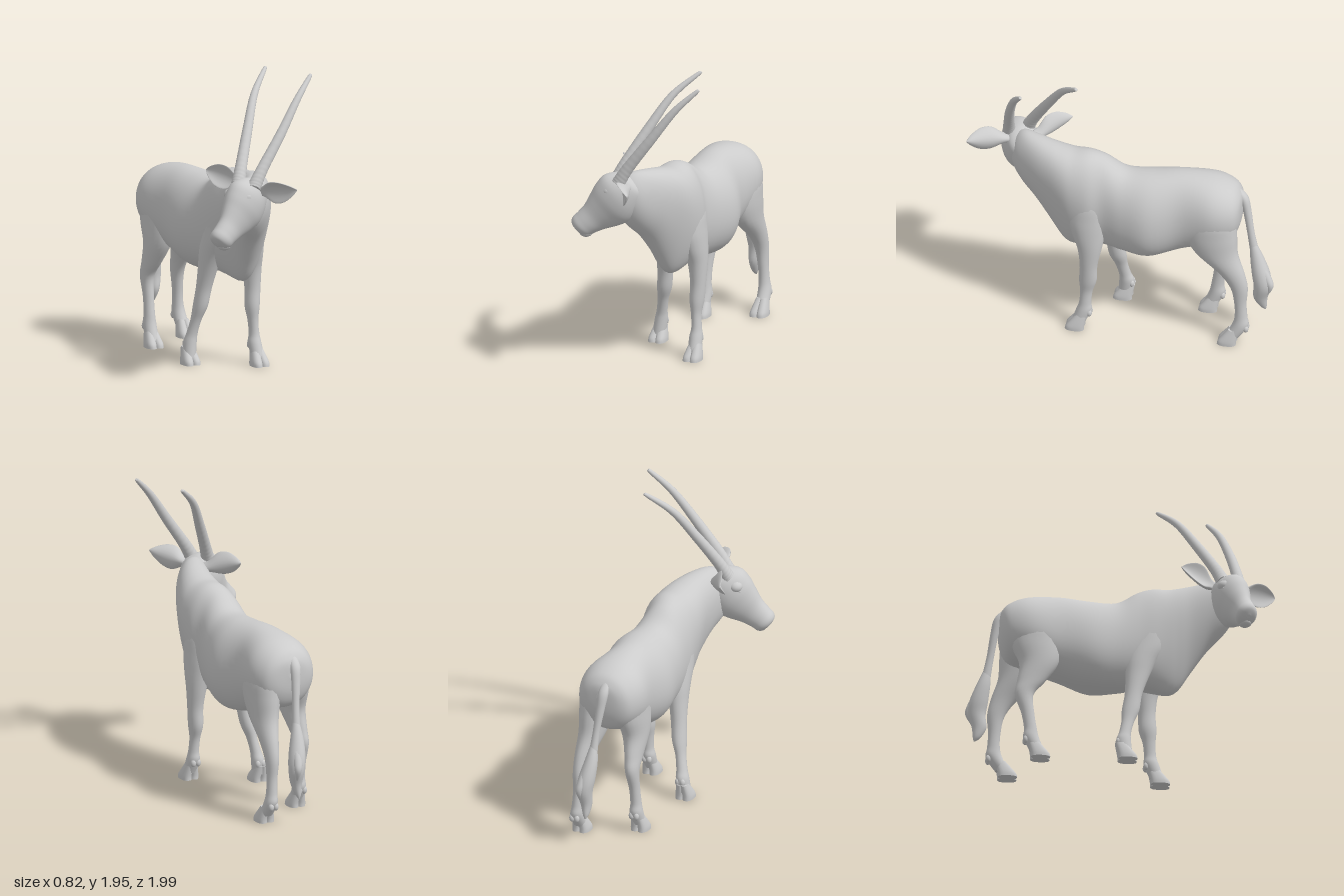
import * as THREE from 'three';

const V3 = (a) => new THREE.Vector3(...a);
const grey = new THREE.MeshStandardMaterial({ color: 0xcccccc });

// Smooth skin over rows of [x, y, z, ru, rv, taper]; every ring lies in the plane of u and v.
// A positive taper narrows the ring on its -v side, a negative one on its +v side.
function loft(name, rows, u, v, { seg = 28, sub = 5, cup = 0, power = 1, ripple = null } = {}) {
  const U = V3(u).normalize(), V = V3(v).normalize();
  const n = (rows.length - 1) * sub;
  const sample = (t) => {
    const i = Math.min(Math.floor(t), rows.length - 2), f = t - i;
    const at = (k) => rows[Math.max(0, Math.min(rows.length - 1, k))];
    const [a, b, c, d] = [at(i - 1), at(i), at(i + 1), at(i + 2)];
    return b.map((_, k) => 0.5 * (2 * b[k] + (c[k] - a[k]) * f
      + (2 * a[k] - 5 * b[k] + 4 * c[k] - d[k]) * f * f
      + (3 * b[k] - a[k] - 3 * c[k] + d[k]) * f * f * f));
  };
  const axis = V3(rows[rows.length - 1].slice(0, 3)).sub(V3(rows[0].slice(0, 3)));
  const turn = new THREE.Vector3().crossVectors(U, V).dot(axis) > 0 ? 1 : -1;
  const soft = (s) => Math.sign(s) * Math.abs(s) ** power;
  const pos = [], idx = [];
  for (let i = 0; i <= n; i++) {
    const [x, y, z, ru, rv, taper = 0] = sample(i / sub);
    const k = ripple ? ripple(i / n) : 1;
    for (let j = 0; j < seg; j++) {
      const a = turn * j / seg * Math.PI * 2;
      const c = soft(Math.cos(a)), s = soft(Math.sin(a));
      const p = new THREE.Vector3(x, y, z).addScaledVector(U, c * ru * k * (1 + taper * s))
        .addScaledVector(V, s * rv * k + cup * ru * c * c);
      pos.push(p.x, p.y, p.z);
    }
  }
  for (let i = 0; i < n; i++) for (let j = 0; j < seg; j++) {
    const a = i * seg + j, b = i * seg + (j + 1) % seg;
    idx.push(a, b, b + seg, a, b + seg, a + seg);
  }
  // end caps have their own vertices, so the rims stay crisp
  for (const [row, flip] of [[0, true], [n, false]]) {
    const base = pos.length / 3, r = row * seg;
    const mid = [0, 0, 0];
    for (let j = 0; j < seg; j++) for (let k = 0; k < 3; k++) {
      const q = pos[(r + j) * 3 + k];
      mid[k] += q / seg;
      pos.push(q);
    }
    pos.push(...mid);
    for (let j = 0; j < seg; j++) {
      const a = base + j, b = base + (j + 1) % seg;
      flip ? idx.push(base + seg, b, a) : idx.push(base + seg, a, b);
    }
  }
  const g = new THREE.BufferGeometry();
  g.setAttribute('position', new THREE.Float32BufferAttribute(pos, 3));
  g.setIndex(idx);
  g.computeVertexNormals();
  const mesh = new THREE.Mesh(g, grey);
  mesh.name = name;
  return mesh;
}

function ball(name, p, r, scale = [1, 1, 1]) {
  const m = new THREE.Mesh(new THREE.SphereGeometry(r, 18, 12), grey);
  m.name = name;
  m.position.set(...p);
  m.scale.set(...scale);
  return m;
}

const X = [1, 0, 0], Y = [0, 1, 0], Z = [0, 0, 1];

// Leg from rows of [x, y, z, rx, rz], with a cloven hoof and dewclaws behind the fetlock
function leg(name, rows, hoofX, hoofZ) {
  const g = new THREE.Group();
  g.name = name;
  g.add(loft(name + 'Limb', rows, X, Z, { seg: 22 }));
  const [fx, fy, fz, , fr] = rows[rows.length - 2];
  for (const s of [-1, 1]) {
    const x = hoofX + s * 0.025;
    g.add(loft('hoofToe', [
      [x, 0, hoofZ, 0.033, 0.062], [x, 0.025, hoofZ - 0.004, 0.032, 0.059],
      [x - s * 0.004, 0.06, hoofZ - 0.02, 0.029, 0.049],
      [x - s * 0.01, 0.11, hoofZ - 0.045, 0.022, 0.035],
    ], X, Z, { seg: 18, power: 0.85 }));
    g.add(ball('dewclaw', [fx + s * 0.017, fy - 0.015, fz - fr + 0.014], 0.02, [0.9, 1.3, 0.9]));
  }
  return g;
}

export function createModel() {
  const model = new THREE.Group();
  model.name = 'antelope';

  // Trunk and neck: z, left and right edge, underside, topline, taper
  const trunk = [
    [-0.785, 0.0, 0.05, 0.95, 1.03, 0], [-0.77, -0.1, 0.15, 0.84, 1.08, 0],
    [-0.72, -0.165, 0.21, 0.75, 1.135, 0], [-0.6, -0.2, 0.245, 0.7, 1.18, 0],
    [-0.4, -0.175, 0.23, 0.63, 1.2, -0.05], [-0.2, -0.18, 0.288, 0.575, 1.19, -0.08],
    [-0.03, -0.15, 0.258, 0.585, 1.19, -0.05], [0.1, -0.135, 0.225, 0.6, 1.265, -0.05],
    [0.2, -0.13, 0.24, 0.59, 1.3, 0.05], [0.3, -0.115, 0.23, 0.575, 1.3, 0.25],
    [0.37, -0.105, 0.21, 0.61, 1.31, 0.35], [0.45, -0.105, 0.18, 0.73, 1.325, 0.28],
    [0.55, -0.125, 0.135, 0.87, 1.34, 0.12], [0.64, -0.15, 0.08, 0.96, 1.34, 0],
    [0.7, -0.16, 0.03, 1.04, 1.3, 0], [0.735, -0.13, -0.03, 1.14, 1.23, 0],
  ];
  model.add(loft('trunkAndNeck', trunk.map(([z, a, b, lo, hi, taper]) =>
    [(a + b) / 2, (lo + hi) / 2, z, (b - a) / 2, (hi - lo) / 2, taper]), X, Y, { seg: 44, power: 0.95 }));

  // Head, turned towards its right
  const side = [0.373, 0, 0.928], brow = [-0.622, 0.743, 0.25];
  model.add(loft('head', [
    [-0.01, 1.28, 0.64, 0.03, 0.04], [-0.04, 1.265, 0.65, 0.09, 0.1],
    [-0.105, 1.21, 0.68, 0.115, 0.155], [-0.155, 1.145, 0.7, 0.112, 0.162],
    [-0.207, 1.09, 0.72, 0.09, 0.137], [-0.263, 1.04, 0.743, 0.07, 0.104],
    [-0.315, 1.0, 0.76, 0.069, 0.087], [-0.35, 0.972, 0.77, 0.069, 0.079],
    [-0.372, 0.957, 0.778, 0.05, 0.056], [-0.38, 0.95, 0.78, 0.012, 0.015],
  ], side, brow, { seg: 32 }));
  const onHead = (p, s, d) => p.map((q, i) => q + s * d * side[i]);
  for (const s of [-1, 1]) {
    model.add(ball('eye', onHead([-0.2, 1.205, 0.712], s, 0.073), 0.021));
    model.add(ball('browRidge', onHead([-0.18, 1.235, 0.702], s, 0.062), 0.047, [1, 0.85, 1]));
    model.add(ball('nostrilWing', onHead([-0.36, 0.99, 0.78], s, 0.03), 0.026));
  }
  model.add(ball('chin', [-0.318, 0.935, 0.762], 0.04, [1.1, 0.8, 1.1]));

  // Long, finely ringed horns sweeping backwards
  const rings = (t) => 1 + (t < 0.7 ? 0.014 * Math.sin(t * 170) * (1 - t) : 0);
  const horn = (name, pts) => loft(name, pts, [0.83, -0.55, 0], [0.25, 0.35, 0.9],
    { seg: 18, sub: 22, ripple: rings });
  model.add(horn('rightHorn', [
    [-0.15, 1.29, 0.64, 0.046, 0.046], [-0.105, 1.4, 0.595, 0.038, 0.038],
    [-0.005, 1.6, 0.49, 0.032, 0.032], [0.105, 1.8, 0.375, 0.024, 0.024],
    [0.235, 1.93, 0.27, 0.014, 0.014], [0.255, 1.945, 0.255, 0.003, 0.003],
  ]));
  model.add(horn('leftHorn', [
    [-0.1, 1.28, 0.75, 0.046, 0.046], [-0.03, 1.4, 0.74, 0.038, 0.038],
    [0.115, 1.6, 0.71, 0.032, 0.032], [0.26, 1.8, 0.66, 0.024, 0.024],
    [0.385, 1.93, 0.6, 0.014, 0.014], [0.4, 1.945, 0.59, 0.003, 0.003],
  ]));

  // Cupped leaf-shaped ears, opening forwards
  const ear = (name, a, b, u, v) => {
    const shape = [[0, 0.03, 0.03], [0.15, 0.038, 0.028], [0.4, 0.074, 0.02],
      [0.65, 0.07, 0.014], [0.88, 0.036, 0.01], [1, 0.004, 0.003]];
    return loft(name, shape.map(([t, w, d]) => [...a.map((q, i) => q + (b[i] - q) * t), w, d]),
      u, v, { seg: 24, cup: 0.55 });
  };
  model.add(ear('leftEar', [-0.045, 1.265, 0.74], [0.085, 1.3, 0.995], [-0.3, 0.93, 0.03], [-0.82, -0.28, 0.46]));
  model.add(ear('rightEar', [-0.08, 1.275, 0.58], [-0.235, 1.345, 0.365], [0.2, 0.95, 0.1], [-0.78, 0.2, 0.53]));

  // Legs in a walking pose
  model.add(leg('frontLeftLeg', [
    [0.1, 1.14, 0.19, 0.06, 0.08], [0.125, 1.0, 0.2, 0.106, 0.13], [0.15, 0.86, 0.2, 0.098, 0.135],
    [0.175, 0.74, 0.19, 0.078, 0.108], [0.19, 0.63, 0.18, 0.062, 0.078], [0.195, 0.5, 0.185, 0.05, 0.057],
    [0.19, 0.38, 0.19, 0.046, 0.057], [0.19, 0.29, 0.2, 0.033, 0.041],
    [0.195, 0.2, 0.207, 0.033, 0.039], [0.195, 0.14, 0.215, 0.042, 0.05], [0.2, 0.05, 0.25, 0.042, 0.045],
  ], 0.2, 0.272));
  model.add(leg('frontRightLeg', [
    [-0.01, 1.14, 0.18, 0.06, 0.08], [-0.025, 1.0, 0.18, 0.096, 0.13], [-0.045, 0.86, 0.16, 0.09, 0.135],
    [-0.065, 0.74, 0.12, 0.075, 0.1], [-0.08, 0.63, 0.095, 0.06, 0.075], [-0.095, 0.5, 0.07, 0.05, 0.056],
    [-0.11, 0.38, 0.05, 0.046, 0.056], [-0.13, 0.29, 0.03, 0.034, 0.041],
    [-0.148, 0.2, 0.01, 0.035, 0.039], [-0.158, 0.14, 0.0, 0.042, 0.048], [-0.168, 0.05, 0.01, 0.042, 0.045],
  ], -0.168, 0.025));
  model.add(leg('hindLeftLeg', [
    [0.09, 1.12, -0.58, 0.07, 0.09], [0.125, 0.96, -0.59, 0.11, 0.16], [0.14, 0.82, -0.595, 0.103, 0.172],
    [0.15, 0.68, -0.635, 0.083, 0.14], [0.165, 0.54, -0.735, 0.056, 0.085],
    [0.17, 0.43, -0.785, 0.043, 0.057], [0.175, 0.31, -0.795, 0.034, 0.04],
    [0.18, 0.21, -0.8, 0.035, 0.041], [0.185, 0.14, -0.795, 0.042, 0.053], [0.19, 0.05, -0.74, 0.042, 0.048],
  ], 0.19, -0.711));
  model.add(leg('hindRightLeg', [
    [-0.04, 1.12, -0.56, 0.07, 0.09], [-0.075, 0.96, -0.57, 0.108, 0.16], [-0.092, 0.82, -0.555, 0.098, 0.165],
    [-0.107, 0.68, -0.54, 0.078, 0.125], [-0.12, 0.55, -0.59, 0.055, 0.09],
    [-0.128, 0.45, -0.635, 0.043, 0.06], [-0.132, 0.32, -0.612, 0.034, 0.042],
    [-0.134, 0.21, -0.595, 0.035, 0.041], [-0.135, 0.14, -0.59, 0.042, 0.051], [-0.137, 0.05, -0.55, 0.042, 0.047],
  ], -0.137, -0.532));

  // Tail with a hairy tuft
  model.add(loft('tail', [
    [0.0, 1.1, -0.735, 0.02, 0.015], [0.0, 1.03, -0.785, 0.034, 0.03], [0.01, 0.92, -0.812, 0.029, 0.027],
    [0.025, 0.77, -0.837, 0.023, 0.024], [0.035, 0.62, -0.865, 0.028, 0.03],
  ], X, Z, { seg: 18 }));
  const lock = (name, rows) => model.add(loft(name, rows, X, Z, { seg: 16 }));
  lock('tailTuft', [
    [0.033, 0.7, -0.85, 0.018, 0.02], [0.04, 0.58, -0.88, 0.042, 0.045], [0.055, 0.47, -0.908, 0.054, 0.06],
    [0.065, 0.38, -0.92, 0.05, 0.058], [0.06, 0.29, -0.905, 0.036, 0.047],
    [0.055, 0.22, -0.92, 0.02, 0.026], [0.055, 0.19, -0.935, 0.004, 0.005],
  ]);
  lock('tailTuftRearLock', [
    [0.06, 0.56, -0.9, 0.02, 0.02], [0.07, 0.46, -0.945, 0.028, 0.03],
    [0.08, 0.39, -0.97, 0.022, 0.022], [0.075, 0.31, -0.945, 0.006, 0.006],
  ]);

  return model;
}
